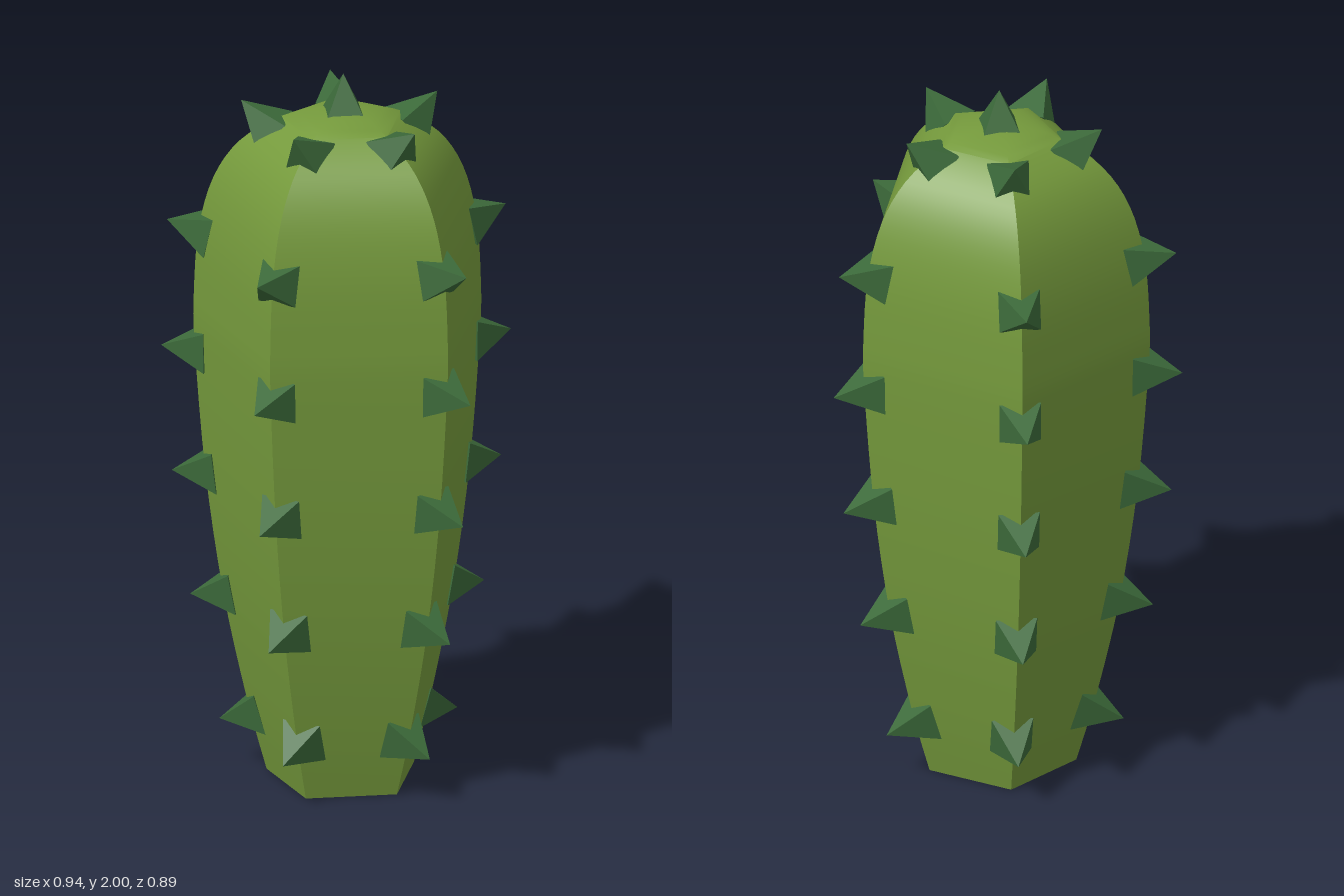
import * as THREE from 'three';
import { toCreasedNormals } from 'three/addons/utils/BufferGeometryUtils.js';

const SIDES = 5;
const SPIKE_HEIGHT = 0.125;
const SPIKE_HALF = 0.056;

// Each row of spikes: tip radius, tip height, upward tilt in degrees
const ROWS = [
  [0.336, 0.135, -17],
  [0.415, 0.485, -11],
  [0.465, 0.835, -7],
  [0.494, 1.19, -1],
  [0.478, 1.55, 13],
  [0.277, 1.905, 43],
];

export function createModel() {
  const model = new THREE.Group();
  model.name = 'cactus';

  const bodyMaterial = new THREE.MeshStandardMaterial({ color: 0x759a3c, side: THREE.DoubleSide });
  const spikeMaterial = new THREE.MeshStandardMaterial({ color: 0x3c6a3a, flatShading: true });

  // Five-sided body, open underneath, with sharp vertical ridges and a rounded top
  const outline = new THREE.SplineCurve([
    [0.208, 0], [0.262, 0.2], [0.326, 0.5], [0.374, 0.84], [0.403, 1.2], [0.405, 1.35],
    [0.392, 1.53], [0.352, 1.68], [0.28, 1.79], [0.17, 1.866], [0.08, 1.893], [0, 1.9],
  ].map(([r, y]) => new THREE.Vector2(r, y)));
  const profile = outline.getPoints(44);
  profile[profile.length - 1].x = 0;
  const bodyGeometry = toCreasedNormals(new THREE.LatheGeometry(profile, SIDES, Math.PI), 0.6);
  const body = new THREE.Mesh(bodyGeometry, bodyMaterial);
  body.name = 'body';
  model.add(body);

  // Square pyramid with its tip at the origin, pointing up
  const spikeGeometry = new THREE.ConeGeometry(SPIKE_HALF * Math.SQRT2, SPIKE_HEIGHT, 4, 1, false, Math.PI / 4);
  spikeGeometry.translate(0, -SPIKE_HEIGHT / 2, 0);

  const addSpike = (parent, name, radius, y, tilt) => {
    const spike = new THREE.Mesh(spikeGeometry, spikeMaterial);
    spike.name = name;
    spike.position.set(0, y, radius);
    spike.rotation.x = Math.PI / 2 - THREE.MathUtils.degToRad(tilt);
    parent.add(spike);
  };

  // A column of spikes along every ridge
  for (let i = 0; i < SIDES; i++) {
    const column = new THREE.Group();
    column.name = `spikeColumn${i + 1}`;
    column.rotation.y = Math.PI + (i * 2 * Math.PI) / SIDES;
    ROWS.forEach(([r, y, tilt], j) => addSpike(column, `spike${j + 1}`, r, y, tilt));
    model.add(column);
  }

  // Single spike on the crown
  addSpike(model, 'topSpike', 0, 2, 90);

  // The pentagon's axis sits slightly forward of the centre of its bounds
  model.children.forEach((part) => { part.position.z += 0.046; });
  return model;
}
